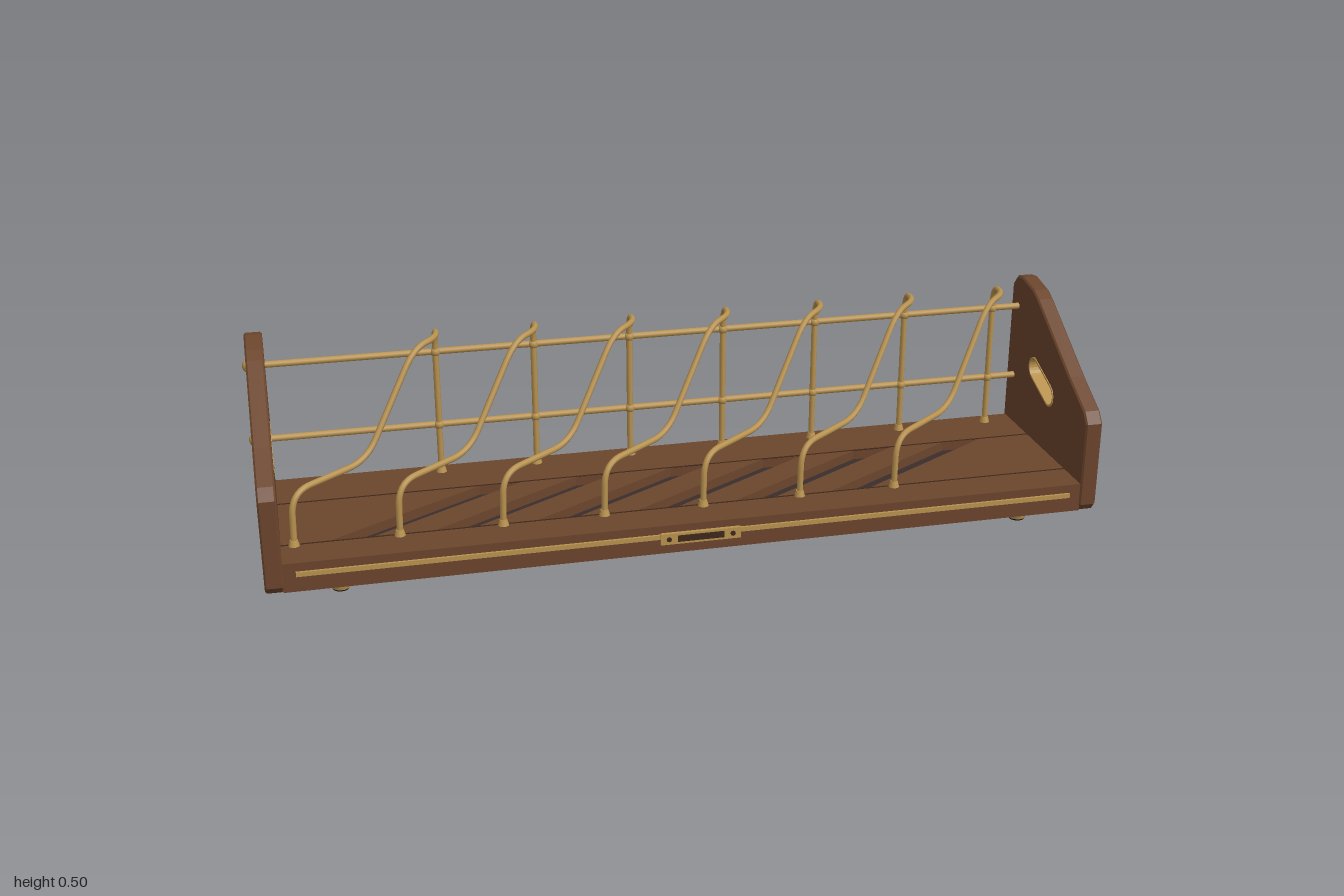
import * as THREE from 'three';

const mat = (name, color, side = THREE.FrontSide) => {
  const m = new THREE.MeshStandardMaterial({ color, side });
  m.name = name;
  return m;
};

// Path through corner points with each inner corner rounded by r
function roundedPath(pts, r) {
  const path = new THREE.CurvePath();
  let last = pts[0];
  for (let i = 1; i < pts.length - 1; i++) {
    const p = pts[i];
    const cut = (q) => {
      const d = q.clone().sub(p);
      return p.clone().add(d.setLength(Math.min(r, d.length() * 0.48)));
    };
    const a = cut(pts[i - 1]), b = cut(pts[i + 1]);
    path.add(new THREE.LineCurve3(last, a));
    path.add(new THREE.QuadraticBezierCurve3(a, p, b));
    last = b;
  }
  path.add(new THREE.LineCurve3(last, pts[pts.length - 1]));
  return path;
}

// Slanted slot outline with round ends, as (z, y) points
function slot(r) {
  const a = [0.013, 0.258], b = [-0.083, 0.294], pts = [];
  const dir = Math.atan2(b[1] - a[1], b[0] - a[0]);
  for (const [c, start] of [[b, dir - Math.PI / 2], [a, dir + Math.PI / 2]]) {
    for (let i = 0; i <= 10; i++) {
      const t = start + (Math.PI * i) / 10;
      pts.push(new THREE.Vector2(c[0] + r * Math.cos(t), c[1] + r * Math.sin(t)));
    }
  }
  return pts;
}

export function createModel() {
  const model = new THREE.Group();
  model.name = 'dishRack';
  const wood = mat('walnut', 0x6b452c);
  const brass = mat('brass', 0xb8924f);
  const darkWood = mat('darkWood', 0x40281b);
  const recess = mat('recessFloor', 0x3a2e2c);
  const rubber = mat('rubber', 0x1c1a1a);

  const add = (name, geo, material, x = 0, y = 0, z = 0, parent = model) => {
    const m = new THREE.Mesh(geo, material);
    m.name = name;
    m.position.set(x, y, z);
    parent.add(m);
    return m;
  };

  // Side panels with a brass-lined grip
  const outline = [[0.235, 0.055], [0.222, 0.038], [-0.232, 0.038], [-0.245, 0.05], [-0.245, 0.472],
    [-0.222, 0.498], [-0.19, 0.503], [-0.12, 0.49], [-0.09, 0.475], [0.12, 0.345], [0.215, 0.292], [0.235, 0.265]];
  const panelShape = new THREE.Shape(outline.map(([z, y]) => new THREE.Vector2(z, y)));
  panelShape.holes.push(new THREE.Path(slot(0.027)));
  const panelGeo = new THREE.ExtrudeGeometry(panelShape, {
    depth: 0.034, bevelThickness: 0.004, bevelSize: 0.004, bevelOffset: -0.004, bevelSegments: 1,
  });
  panelGeo.translate(0, 0, -0.017).rotateY(-Math.PI / 2);
  const linerShape = new THREE.Shape(slot(0.029));
  linerShape.holes.push(new THREE.Path(slot(0.0245)));
  const linerGeo = new THREE.ExtrudeGeometry(linerShape, { depth: 0.044, bevelEnabled: false });
  linerGeo.translate(0, 0, -0.022).rotateY(-Math.PI / 2);

  const rods = [0.422, 0.234];
  const rodZ = -0.204;
  for (const s of [-1, 1]) {
    add('sidePanel', panelGeo, wood, s * 0.969);
    add('gripLiner', linerGeo, brass, s * 0.969);
    for (const y of rods) {
      add('rodCap', new THREE.SphereGeometry(0.015, 16, 12), brass, s * 0.989, y, rodZ).scale.x = 0.75;
    }
  }

  // Shelf: solid base below a top board with slanted recesses
  const zBack = -0.237, zFront = 0.231, pitch = 0.237;
  add('shelfBase', new THREE.BoxGeometry(1.9, 0.045, zFront - zBack), wood, 0, 0.0625, (zFront + zBack) / 2);
  const rect = [[-0.95, zBack], [0.95, zBack], [0.95, zFront], [-0.95, zFront]];
  const top = new THREE.Shape(rect.map(([x, z]) => new THREE.Vector2(x, z)));
  for (let i = 0; i < 6; i++) {
    const x = i * pitch;
    const pts = [[-0.84, 0.134], [-0.74, 0.134], [-0.37, -0.09], [-0.47, -0.09]]
      .map(([px, z]) => new THREE.Vector2(px + x, z));
    top.holes.push(new THREE.Path(pts));
    const floor = new THREE.ShapeGeometry(new THREE.Shape(pts));
    // shape faces +z; turn it upward
    floor.rotateX(-Math.PI / 2).scale(1, 1, -1);
    const idx = floor.index.array;
    for (let k = 0; k < idx.length; k += 3) [idx[k], idx[k + 1]] = [idx[k + 1], idx[k]];
    floor.computeVertexNormals();
    const n = floor.attributes.normal;
    if (n.getY(0) < 0) {
      for (let k = 0; k < idx.length; k += 3) [idx[k], idx[k + 1]] = [idx[k + 1], idx[k]];
      floor.computeVertexNormals();
    }
    add('recessFloor', floor, recess, 0, 0.0865, 0);
  }
  const topGeo = new THREE.ExtrudeGeometry(top, { depth: 0.025, bevelEnabled: false });
  topGeo.rotateX(Math.PI / 2);
  add('shelfTop', topGeo, wood, 0, 0.11, 0);
  for (const z of [-0.092, 0.136]) {
    add('shelfSeam', new THREE.BoxGeometry(1.9, 0.002, 0.004), darkWood, 0, 0.11, z);
  }

  // Front brass inlay and blank plaque
  add('frontInlay', new THREE.BoxGeometry(1.84, 0.011, 0.008), brass, 0, 0.084, 0.233);
  const plaque = new THREE.Group();
  plaque.name = 'plaque';
  plaque.position.set(0, 0.08, 0.238);
  model.add(plaque);
  add('plaquePlate', new THREE.BoxGeometry(0.19, 0.027, 0.009), brass, 0, 0, 0, plaque);
  add('plaqueField', new THREE.BoxGeometry(0.11, 0.016, 0.002), darkWood, 0, 0, 0.0047, plaque);
  for (const s of [-1, 1]) {
    const screw = add('plaqueScrew', new THREE.CylinderGeometry(0.006, 0.006, 0.004, 12), darkWood, s * 0.076, 0, 0.005, plaque);
    screw.rotation.x = Math.PI / 2;
  }

  // Back rods
  for (const y of rods) {
    const rodGeo = new THREE.CylinderGeometry(0.008, 0.008, 1.96, 12);
    add('backRod', rodGeo.rotateZ(Math.PI / 2), brass, 0, y, rodZ);
  }

  // Wire dividers
  const wirePts = [[-0.37, 0.105, 0.14], [-0.367, 0.238, 0.137], [-0.19, 0.245, 0.008], [-0.06, 0.474, -0.09],
    [0, 0.482, -0.137], [0, 0.482, -0.2], [0, 0.105, -0.2]].map((p) => new THREE.Vector3(...p));
  const wireGeo = new THREE.TubeGeometry(roundedPath(wirePts, 0.055), 110, 0.0075, 8);
  const collarGeo = new THREE.CylinderGeometry(0.009, 0.013, 0.014, 12);
  const jointGeo = new THREE.SphereGeometry(0.0125, 12, 8);
  for (let i = 0; i < 7; i++) {
    const divider = new THREE.Group();
    divider.name = 'divider';
    divider.position.x = -0.548 + i * pitch;
    model.add(divider);
    add('wire', wireGeo, brass, 0, 0, 0, divider);
    add('frontCollar', collarGeo, brass, -0.37, 0.117, 0.14, divider);
    add('backCollar', collarGeo, brass, 0, 0.117, -0.2, divider);
    for (const y of rods) add('joint', jointGeo, brass, 0, y, -0.202, divider);
  }

  // Feet
  for (const x of [-0.822, 0.822]) {
    for (const z of [0.155, -0.164]) {
      add('foot', new THREE.CylinderGeometry(0.032, 0.025, 0.025, 20), darkWood, x, 0.0275, z);
      add('footRing', new THREE.CylinderGeometry(0.025, 0.022, 0.011, 20), brass, x, 0.0098, z);
      add('footPad', new THREE.CylinderGeometry(0.021, 0.019, 0.006, 20), rubber, x, 0.003, z);
    }
  }
  return model;
}
